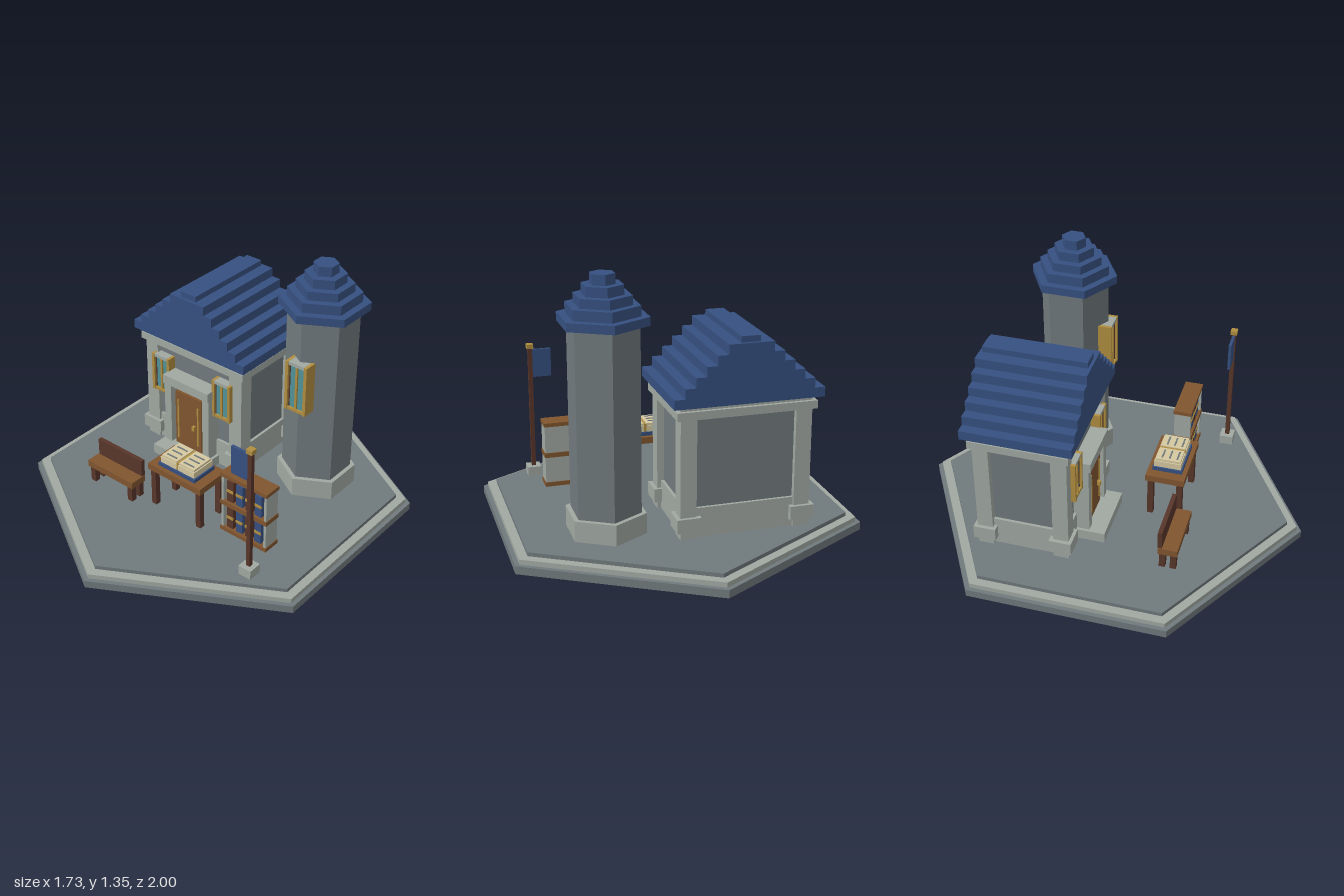
import * as THREE from 'three';

const mat = (name, color) => {
  const m = new THREE.MeshStandardMaterial({ color });
  m.name = name;
  return m;
};

export function createModel() {
  const stone = mat('grey stone', 0x70797c);
  const pale = mat('pale stone', 0xa0a8a1);
  const blue = mat('blue slate', 0x365080);
  const wood = mat('wood', 0x80552f);
  const darkWood = mat('dark wood', 0x58362a);
  const gold = mat('gold', 0xb08d40);
  const glass = mat('teal glass', 0x4f9298);
  const paper = mat('paper', 0xd4c8a0);

  const root = new THREE.Group();
  root.name = 'readingCourtyard';
  const group = (name, parent = root) => {
    const g = new THREE.Group();
    g.name = name;
    parent.add(g);
    return g;
  };
  // box given by its min and max on each axis
  const box = (parent, name, m, x0, x1, y0, y1, z0, z1) => {
    const mesh = new THREE.Mesh(new THREE.BoxGeometry(x1 - x0, y1 - y0, z1 - z0), m);
    mesh.position.set((x0 + x1) / 2, (y0 + y1) / 2, (z0 + z1) / 2);
    mesh.name = name;
    parent.add(mesh);
    return mesh;
  };
  // hexagonal slab with corners facing front and back
  const hex = (parent, name, m, r, y0, y1, x = 0, z = 0) => {
    const geo = new THREE.CylinderGeometry(r, r, y1 - y0, 6).toNonIndexed();
    geo.computeVertexNormals();
    const mesh = new THREE.Mesh(geo, m);
    mesh.position.set(x, (y0 + y1) / 2, z);
    mesh.name = name;
    parent.add(mesh);
  };

  // Stepped hexagonal base
  const G = 0.085;
  const base = group('base');
  hex(base, 'baseFoot', stone, 1, 0, 0.04);
  hex(base, 'baseTrim', pale, 0.975, 0.04, 0.065);
  hex(base, 'baseFloor', stone, 0.925, 0.065, G);

  // House: walls, plinth, corner columns, cornice
  const house = group('house');
  const cx = -0.24, cz = -0.305;
  const slab = (name, m, hx, hz, y0, y1) =>
    box(house, name, m, cx - hx, cx + hx, y0, y1, cz - hz, cz + hz);
  slab('walls', stone, 0.29, 0.21, G, 0.69);
  slab('plinth', pale, 0.305, 0.225, G, 0.235);
  slab('cornice', pale, 0.345, 0.252, 0.685, 0.725);
  slab('cornice top', pale, 0.325, 0.235, 0.725, 0.75);
  for (const sx of [-1, 1]) for (const sz of [-1, 1]) {
    const x = cx + sx * 0.285, z = cz + sz * 0.196;
    box(house, 'column', pale, x - 0.04, x + 0.04, G, 0.69, z - 0.04, z + 0.04);
    box(house, 'columnBase', pale, x - 0.06, x + 0.06, 0.125, 0.195, z - 0.057, z + 0.057);
  }

  // Stepped house roof with a ridge cap
  for (let i = 0; i < 6; i++) {
    slab('roofStep', blue, 0.368 - i * 0.0515, 0.277, 0.75 + i * 0.0483, 0.75 + (i + 1) * 0.0483);
  }
  slab('roofRidge', blue, 0.047, 0.262, 1.04, 1.07);

  // Doorway with jambs, lintel and doorstep
  const door = group('doorway', house);
  box(door, 'doorstep', pale, cx - 0.167, cx + 0.167, G, 0.14, -0.09, 0.067);
  box(door, 'recess', stone, cx - 0.12, cx + 0.12, 0.14, 0.51, -0.1, -0.05);
  box(door, 'door', wood, cx - 0.09, cx + 0.09, 0.14, 0.47, -0.06, -0.03);
  box(door, 'lintel', pale, cx - 0.153, cx + 0.153, 0.505, 0.555, -0.1, -0.005);
  for (const s of [-1, 1]) {
    const x = cx + s * 0.13;
    box(door, 'jamb', pale, x - 0.022, x + 0.022, 0.14, 0.505, -0.1, -0.015);
    box(door, 'doorStrap', gold, cx + s * 0.068 - 0.005, cx + s * 0.068 + 0.005, 0.18, 0.42, -0.03, -0.024);
  }
  box(door, 'doorHandle', gold, cx + 0.035, cx + 0.052, 0.275, 0.3, -0.03, -0.012);

  // Window with two panes, gold frame and pale head
  const makeWindow = (parent, x, hw, y0, y1, back, front) => {
    const w = group('window', parent);
    const bar = hw * 0.27;
    box(w, 'panes', glass, x - hw + bar, x + hw - bar, y0 + 0.01, y1 - 0.01, back, front - 0.015);
    for (const s of [-1, 1]) {
      const c = x + s * (hw - bar / 2);
      box(w, 'frameSide', gold, c - bar / 2, c + bar / 2, y0, y1, back, front);
      const p = x + s * (hw - bar) * 0.93;
      box(w, 'paneEdge', darkWood, p - 0.003, p + 0.003, y0 + 0.015, y1 - 0.02, front - 0.018, front - 0.012);
    }
    box(w, 'mullion', gold, x - 0.006, x + 0.006, y0, y1 - 0.015, back, front - 0.006);
    box(w, 'sill', gold, x - hw + bar, x + hw - bar, y0, y0 + 0.015, back, front - 0.003);
    box(w, 'windowHead', pale, x - hw + bar, x + hw - bar, y1 - 0.018, y1, back, front - 0.003);
  };
  for (const s of [-1, 1]) makeWindow(house, cx + s * 0.207, 0.06, 0.405, 0.625, -0.1, -0.045);

  // Hexagonal tower with a stepped roof
  const tower = group('tower');
  const tx = 0.39, tz = -0.317;
  hex(tower, 'towerBase', pale, 0.203, G, 0.19, tx, tz);
  hex(tower, 'towerShaft', stone, 0.178, 0.19, 1.115, tx, tz);
  const tiers = [1.113, 1.155, 1.205, 1.25, 1.298, 1.348];
  [0.225, 0.183, 0.143, 0.103, 0.062].forEach((r, i) =>
    hex(tower, 'towerRoofStep', blue, r, tiers[i], tiers[i + 1], tx, tz));
  makeWindow(tower, tx, 0.064, 0.605, 0.88, -0.185, -0.105);

  // Bench
  const bench = group('bench');
  box(bench, 'benchSeat', wood, -0.505, -0.192, 0.172, 0.208, 0.365, 0.462);
  box(bench, 'benchBack', darkWood, -0.5, -0.195, 0.208, 0.302, 0.362, 0.384);
  for (const x of [-0.495, -0.233]) for (const z of [0.37, 0.425])
    box(bench, 'benchLeg', darkWood, x, x + 0.032, G, 0.172, z, z + 0.03);

  // Table
  const table = group('table');
  box(table, 'tableTop', wood, -0.13, 0.213, 0.3, 0.335, 0.203, 0.403);
  for (const x of [-0.12, 0.175]) for (const z of [0.213, 0.363])
    box(table, 'tableLeg', darkWood, x, x + 0.03, G, 0.3, z, z + 0.03);

  // Open book with ruled pages
  const book = group('openBook');
  const bx = 0.04;
  box(book, 'cover', blue, bx - 0.118, bx + 0.118, 0.335, 0.355, 0.226, 0.38);
  box(book, 'spine', gold, bx - 0.006, bx + 0.006, 0.355, 0.397, 0.235, 0.37);
  for (const s of [-1, 1]) {
    const side = (name, m, a, b, y0, y1, z0, z1) =>
      box(book, name, m, bx + Math.min(s * a, s * b), bx + Math.max(s * a, s * b), y0, y1, z0, z1);
    side('pageBlock', paper, 0.006, 0.11, 0.355, 0.388, 0.233, 0.372);
    side('page', paper, 0.008, 0.104, 0.388, 0.4, 0.238, 0.367);
    for (const z of [0.27, 0.308, 0.347])
      side('pageRule', stone, 0.024, 0.088, 0.4, 0.403, z - 0.004, z + 0.004);
  }

  // Bookshelf with two rows of banded books
  const shelf = group('bookshelf');
  box(shelf, 'shelfBack', pale, 0.3, 0.567, 0.095, 0.435, 0.25, 0.295);
  for (const x of [0.296, 0.558])
    box(shelf, 'shelfSide', pale, x, x + 0.014, 0.095, 0.435, 0.25, 0.338);
  for (const [y0, y1] of [[0.1, 0.123], [0.26, 0.285], [0.428, 0.448]])
    box(shelf, 'shelfBoard', wood, 0.291, 0.575, y0, y1, 0.246, 0.342);
  for (const y of [0.123, 0.285]) for (let i = 0; i < 4; i++) {
    const x = 0.322 + i * 0.0575;
    box(shelf, 'shelvedBook', i % 2 ? blue : darkWood, x, x + 0.04, y, y + 0.12, 0.29, 0.328);
    box(shelf, 'bookBand', gold, x, x + 0.04, y + 0.055, y + 0.07, 0.32, 0.332);
  }

  // Flagpole
  const flag = group('flagpole');
  const fx = 0.594, fz = 0.49;
  const post = (name, m, h, y0, y1) => box(flag, name, m, fx - h, fx + h, y0, y1, fz - h, fz + h);
  post('poleFoot', pale, 0.036, G, 0.135);
  post('pole', darkWood, 0.011, 0.135, 0.79);
  post('poleCap', gold, 0.017, 0.787, 0.81);
  box(flag, 'banner', blue, 0.485, 0.584, 0.63, 0.78, fz - 0.007, fz + 0.007);

  return root;
}
